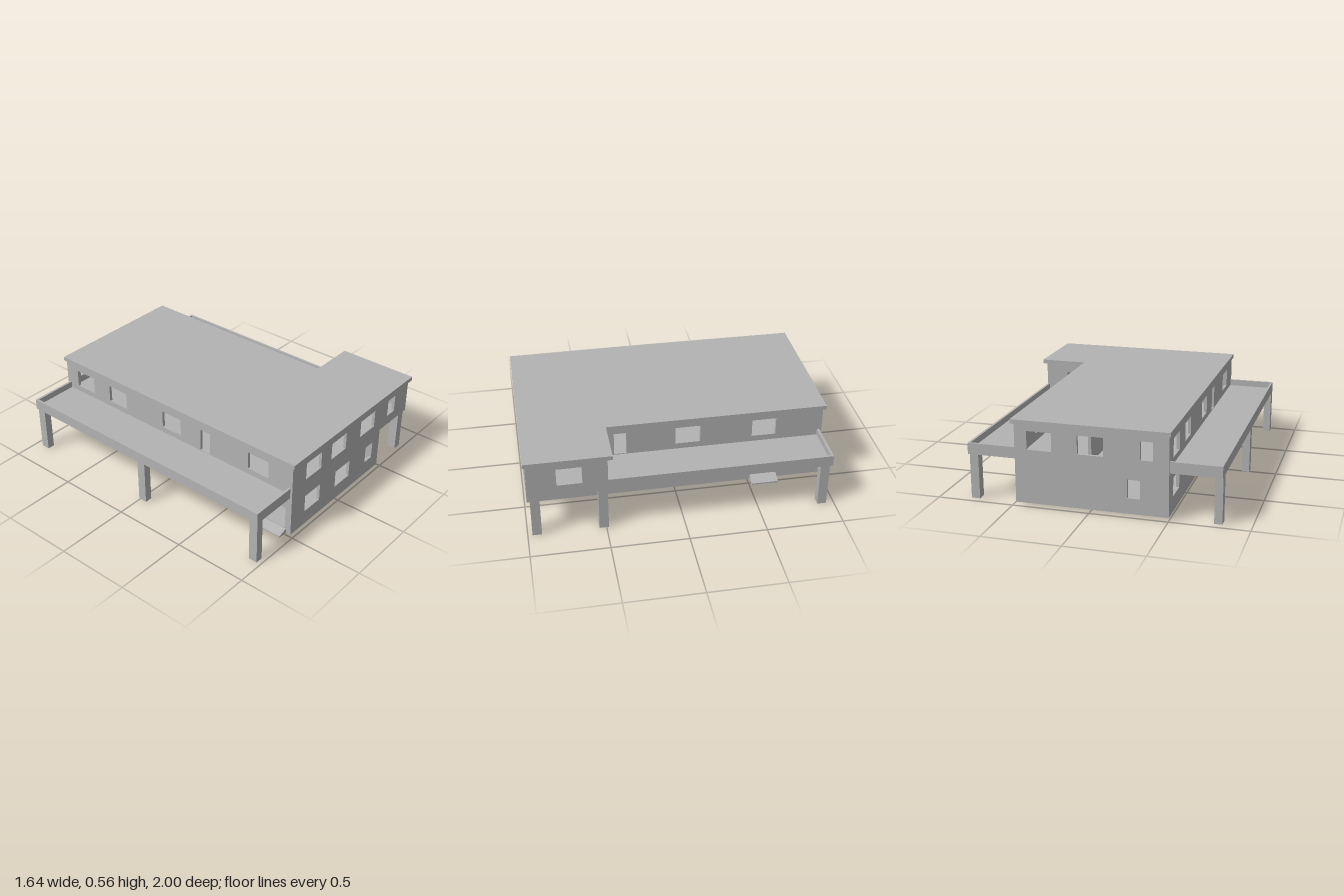
import * as THREE from 'three';

const T = 0.02; // wall thickness
const concrete = new THREE.MeshStandardMaterial({ color: 0xb3b3b3 });
concrete.name = 'concrete grey';

const rect = (u0, u1, v0, v1) => [[u0, v0], [u1, v0], [u1, v1], [u0, v1]];
const toVectors = (pts) => pts.map(([x, y]) => new THREE.Vector2(x, y));

function extrude(outline, holes, depth) {
  const shape = new THREE.Shape(toVectors(outline));
  for (const hole of holes) shape.holes.push(new THREE.Path(toVectors(hole)));
  return new THREE.ExtrudeGeometry(shape, { depth, bevelEnabled: false });
}

export function createModel() {
  const model = new THREE.Group();
  model.name = 'building';

  const add = (name, geometry) => {
    const mesh = new THREE.Mesh(geometry, concrete);
    mesh.name = name;
    model.add(mesh);
    return mesh;
  };
  const box = (name, x0, x1, y0, y1, z0, z1) =>
    add(name, new THREE.BoxGeometry(x1 - x0, y1 - y0, z1 - z0))
      .position.set((x0 + x1) / 2, (y0 + y1) / 2, (z0 + z1) / 2);
  // Wall across x, filling z to z + T
  const wallX = (name, z, outline, holes) =>
    add(name, extrude(outline, holes, T)).position.set(0, 0, z);
  // Wall along z, filling x - T to x; outline is given in (z, y)
  const wallZ = (name, x, outline, holes) => {
    const wall = add(name, extrude(outline, holes, T));
    wall.rotation.y = -Math.PI / 2;
    wall.position.x = x;
  };
  const upper = (a, b) => rect(a, b, 0.37, 0.49);
  const lower = (a, b) => rect(a, b, 0.12, 0.24);
  const balconyDoor = (a, b) => rect(a, b, 0.335, 0.49);
  const groundDoor = (a, b) => rect(a, b, 0.055, 0.21);

  // Outer walls with window and door openings
  wallX('frontWall', 0.965,
    [[-0.5, 0.02], [0.48, 0.02], [0.48, 0.3], [0.8, 0.3], [0.8, 0.535], [-0.5, 0.535]],
    [upper(-0.36, -0.2), upper(-0.09, 0.07), upper(0.235, 0.4), upper(0.56, 0.645),
      lower(-0.36, -0.2), lower(-0.03, 0.13), lower(0.32, 0.4)]);
  wallX('backWall', -0.985, rect(-0.5, 0.48, 0.02, 0.535),
    [upper(0.24, 0.4), upper(-0.09, 0.075), upper(-0.4, -0.32), lower(-0.32, -0.24)]);
  wallZ('eastWall', 0.48,
    [[-0.965, 0.02], [0.965, 0.02], [0.965, 0.3], [0.48, 0.3], [0.48, 0.535], [-0.965, 0.535]],
    [balconyDoor(0.32, 0.4), upper(-0.165, 0), upper(-0.67, -0.51),
      lower(0.8, 0.88), lower(0.56, 0.64), lower(0.32, 0.4), lower(-0.165, 0),
      groundDoor(-0.68, -0.52)]);
  wallZ('westWall', -0.48, rect(-0.965, 0.965, 0.02, 0.535),
    [upper(-0.88, -0.72), upper(-0.57, -0.41), upper(-0.08, 0.08), balconyDoor(0.25, 0.33),
      upper(0.64, 0.8), lower(-0.88, -0.72), lower(-0.08, 0.08), groundDoor(0.78, 0.94)]);
  wallZ('overhangSideWall', 0.8, rect(0.48, 0.965, 0.3, 0.535), [upper(0.64, 0.8)]);
  wallX('overhangBackWall', 0.48, rect(0.48, 0.78, 0.3, 0.535),
    [rect(0.56, 0.645, 0.335, 0.47)]);

  // Floors and inner partitions
  box('groundFloor', -0.48, 0.46, 0.035, 0.05, -0.965, 0.965);
  box('upperFloor', -0.48, 0.46, 0.3, 0.32, -0.965, 0.965);
  box('overhangFloor', 0.46, 0.78, 0.3, 0.32, 0.5, 0.965);
  for (const [y0, y1] of [[0.05, 0.3], [0.32, 0.535]]) {
    box('crossPartition', -0.48, 0.46, y0, y1, 0.46, 0.48);
    box('longPartition', -0.01, 0.01, y0, y1, -0.965, 0.46);
  }

  // L-shaped flat roof, laid down from the plan in (x, -z)
  const roof = add('roof', extrude(
    [[-0.51, -1], [0.82, -1], [0.82, -0.45], [0.5, -0.45], [0.5, 1], [-0.51, 1]], [], 0.028));
  roof.rotation.x = -Math.PI / 2;
  roof.position.y = 0.534;

  // Balconies: a slab with a thin parapet on the open sides
  const R = 0.016;
  box('eastBalconyFloor', 0.48, 0.8 - R, 0.3, 0.33, -0.97 + R, 0.48);
  box('eastBalconyParapet', 0.8 - R, 0.8, 0.3, 0.373, -0.97, 0.48);
  box('eastBalconyEnd', 0.48, 0.8 - R, 0.3, 0.373, -0.97, -0.97 + R);
  box('westBalconyFloor', -0.82 + R, -0.5, 0.3, 0.33, -0.97 + R, 0.97 - R);
  box('westBalconyParapet', -0.82, -0.82 + R, 0.3, 0.373, -0.97, 0.97);
  for (const z of [-0.97, 0.97 - R]) {
    box('westBalconyEnd', -0.82 + R, -0.5, 0.3, 0.373, z, z + R);
  }

  // Square columns
  for (const z of [0.94, 0.515, -0.92]) {
    box('eastColumn', 0.74, 0.797, 0, 0.3, z - 0.03, z + 0.03);
  }
  for (const z of [0.94, 0.02, -0.92]) {
    box('westColumn', -0.82, -0.77, 0, 0.3, z - 0.03, z + 0.03);
  }

  // Sloped door ramps
  add('eastRamp', extrude([[0.48, 0.02], [0.55, 0.02], [0.55, 0.03], [0.48, 0.055]], [], 0.18))
    .position.z = -0.69;
  add('westRamp', extrude([[-0.565, 0.02], [-0.5, 0.02], [-0.5, 0.05], [-0.565, 0.03]], [], 0.18))
    .position.z = 0.77;

  return model;
}
